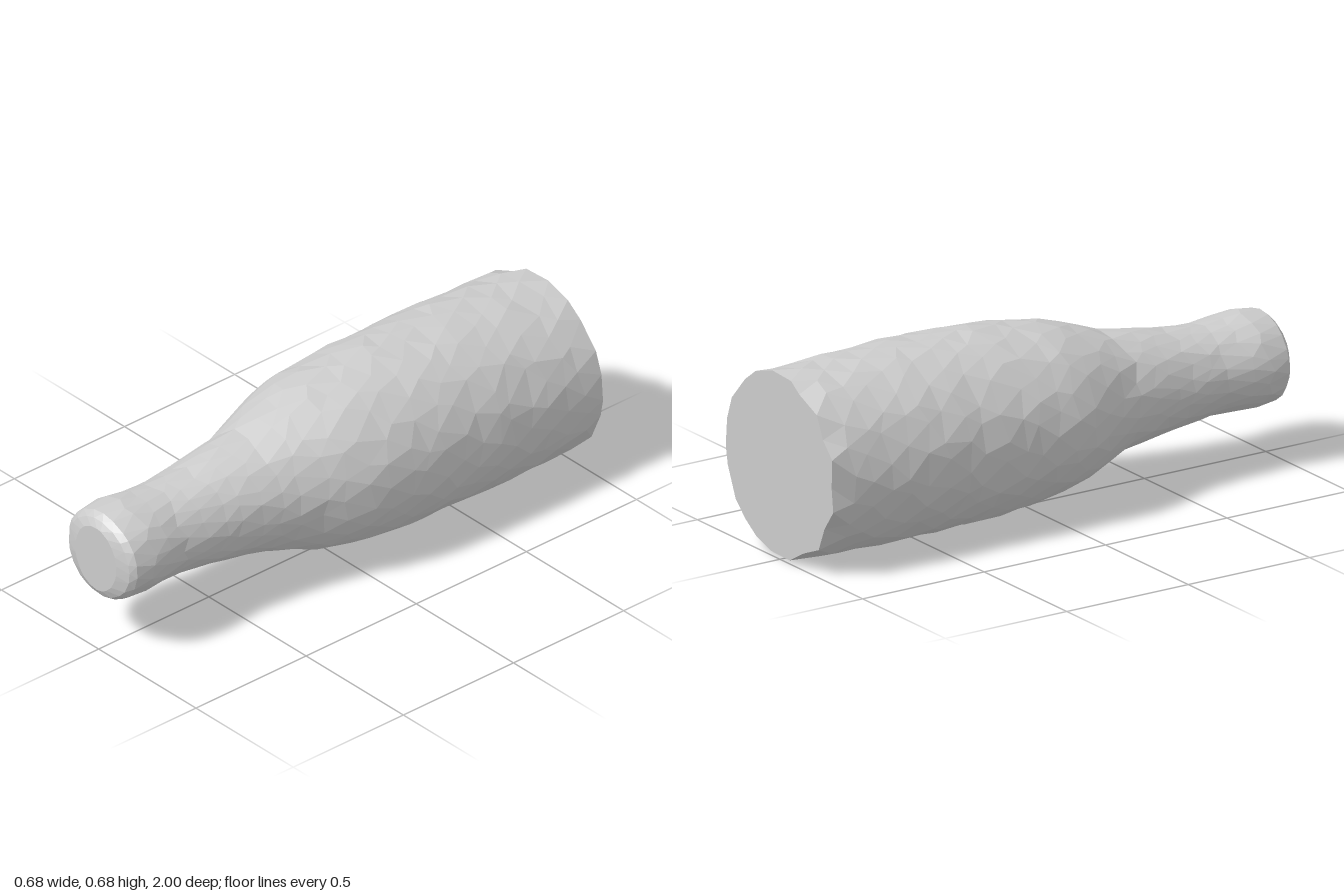
import * as THREE from 'three';

// Outline stations: z, bottom y, top y, right-side x, left-side x
const OUTLINE = [
  [-1, 0.01, 0.665, -0.33, 0.33],
  [-0.6, 0.0, 0.685, -0.335, 0.332],
  [-0.25, 0.008, 0.685, -0.335, 0.33],
  [0, 0.03, 0.662, -0.328, 0.305],
  [0.1, 0.05, 0.645, -0.305, 0.275],
  [0.2, 0.08, 0.615, -0.27, 0.237],
  [0.33, 0.135, 0.563, -0.22, 0.205],
  [0.45, 0.155, 0.55, -0.205, 0.182],
  [0.6, 0.178, 0.522, -0.19, 0.16],
  [0.76, 0.2, 0.515, -0.182, 0.146],
  [0.83, 0.193, 0.53, -0.198, 0.163],
  [0.92, 0.19, 0.535, -0.203, 0.168],
  [0.965, 0.197, 0.523, -0.192, 0.16],
  [0.985, 0.21, 0.505, -0.17, 0.14],
  [1, 0.235, 0.48, -0.12, 0.09],
];

function outlineAt(z) {
  let k = 0;
  while (k < OUTLINE.length - 2 && z > OUTLINE[k + 1][0]) k++;
  const a = OUTLINE[k], b = OUTLINE[k + 1];
  const t = (z - a[0]) / (b[0] - a[0]);
  return a.map((v, i) => THREE.MathUtils.lerp(v, b[i], t));
}

// Repeatable noise in -1..1
function makeNoise(seed) {
  return () => {
    seed = (seed * 16807) % 2147483647;
    return (seed / 2147483647) * 2 - 1;
  };
}

export function createModel() {
  const SIDES = 22;
  const noise = makeNoise(77);
  const levels = [];
  for (let i = 0; i <= 25; i++) levels.push(-1 + (1.965 * i) / 25);
  levels.push(0.985, 1);
  const last = levels.length - 1;

  // Staggered, slightly dented rings from base to mouth
  const positions = [];
  levels.forEach((level, i) => {
    const isRim = i === 0 || i >= last - 2;
    for (let j = 0; j < SIDES; j++) {
      const angle = ((j + i * 0.5 + noise() * 0.22) / SIDES) * Math.PI * 2;
      const z = level + (isRim ? 0 : noise() * 0.022);
      const [, y0, y1, x0, x1] = outlineAt(z);
      let r = 1.004 + noise() * 0.012;
      // Small chips along one side of the base rim
      if (i === 0 && j % 2 && Math.cos(angle) < -0.2) r *= 0.94;
      positions.push(
        (x0 + x1) / 2 + ((x1 - x0) / 2) * r * Math.cos(angle),
        Math.max(0, (y0 + y1) / 2 + ((y1 - y0) / 2) * r * Math.sin(angle)),
        z,
      );
    }
  });

  // Wall between neighbouring rings
  const wall = [];
  for (let i = 0; i < last; i++) {
    for (let j = 0; j < SIDES; j++) {
      const n = (j + 1) % SIDES;
      const a = i * SIDES + j, b = i * SIDES + n;
      wall.push(a, b, a + SIDES, b, b + SIDES, a + SIDES);
    }
  }

  // Flat ends
  const base = [], mouth = [];
  const baseCentre = positions.length / 3;
  positions.push(0, 0.34, -1, -0.015, 0.358, 1);
  for (let j = 0; j < SIDES; j++) {
    const n = (j + 1) % SIDES;
    base.push(baseCentre, n, j);
    mouth.push(baseCentre + 1, last * SIDES + j, last * SIDES + n);
  }

  const material = new THREE.MeshStandardMaterial({ color: 0xcccccc, flatShading: true });
  const group = new THREE.Group();
  group.name = 'bottle';
  const addPart = (name, index) => {
    const indexed = new THREE.BufferGeometry();
    indexed.setAttribute('position', new THREE.Float32BufferAttribute(positions, 3));
    indexed.setIndex(index);
    const geometry = indexed.toNonIndexed();
    geometry.computeVertexNormals();
    const mesh = new THREE.Mesh(geometry, material);
    mesh.name = name;
    group.add(mesh);
  };
  addPart('bottleWall', wall);
  addPart('bottleBase', base);
  addPart('bottleCapEnd', mouth);
  return group;
}
